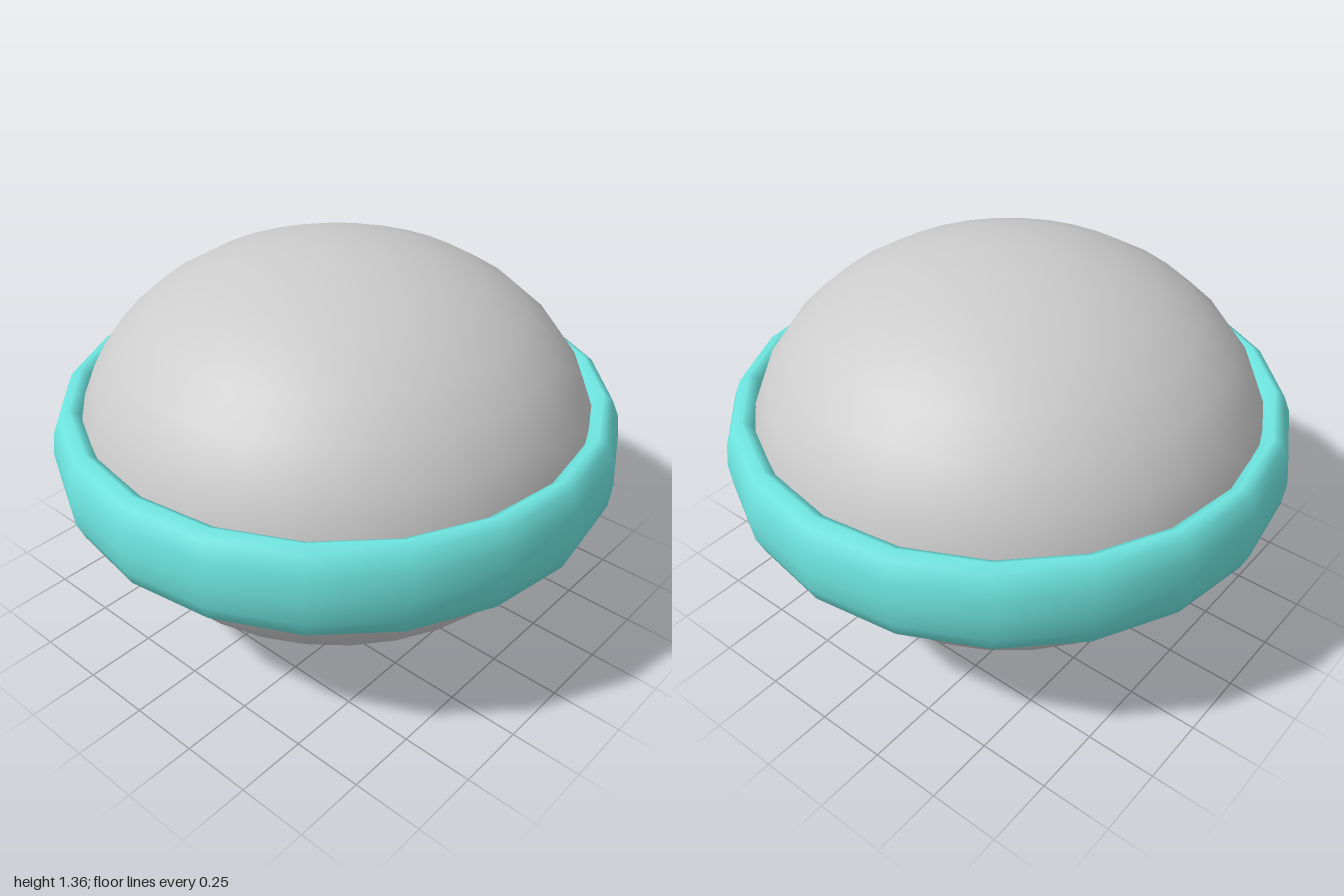
import * as THREE from 'three';

const CENTER_Y = 0.68;

export function createModel() {
  const model = new THREE.Group();

  const addPart = (name, geometry, color) => {
    const mesh = new THREE.Mesh(geometry, new THREE.MeshStandardMaterial({ color }));
    mesh.name = name;
    mesh.position.y = CENTER_Y;
    model.add(mesh);
  };

  // Flattened round body
  const body = new THREE.SphereGeometry(1, 32, 16);
  body.scale(0.91, CENTER_Y, 0.91);
  addPart('body', body, 0xcccccc);

  // Belt around the middle: a 20-sided ring stretched upright
  const tube = 0.07;
  const belt = new THREE.TorusGeometry(1 - tube, tube, 12, 20);
  belt.rotateX(Math.PI / 2);
  belt.scale(1, 0.17 / tube, 1);
  addPart('belt', belt, 0x6ee5e0);

  return model;
}
